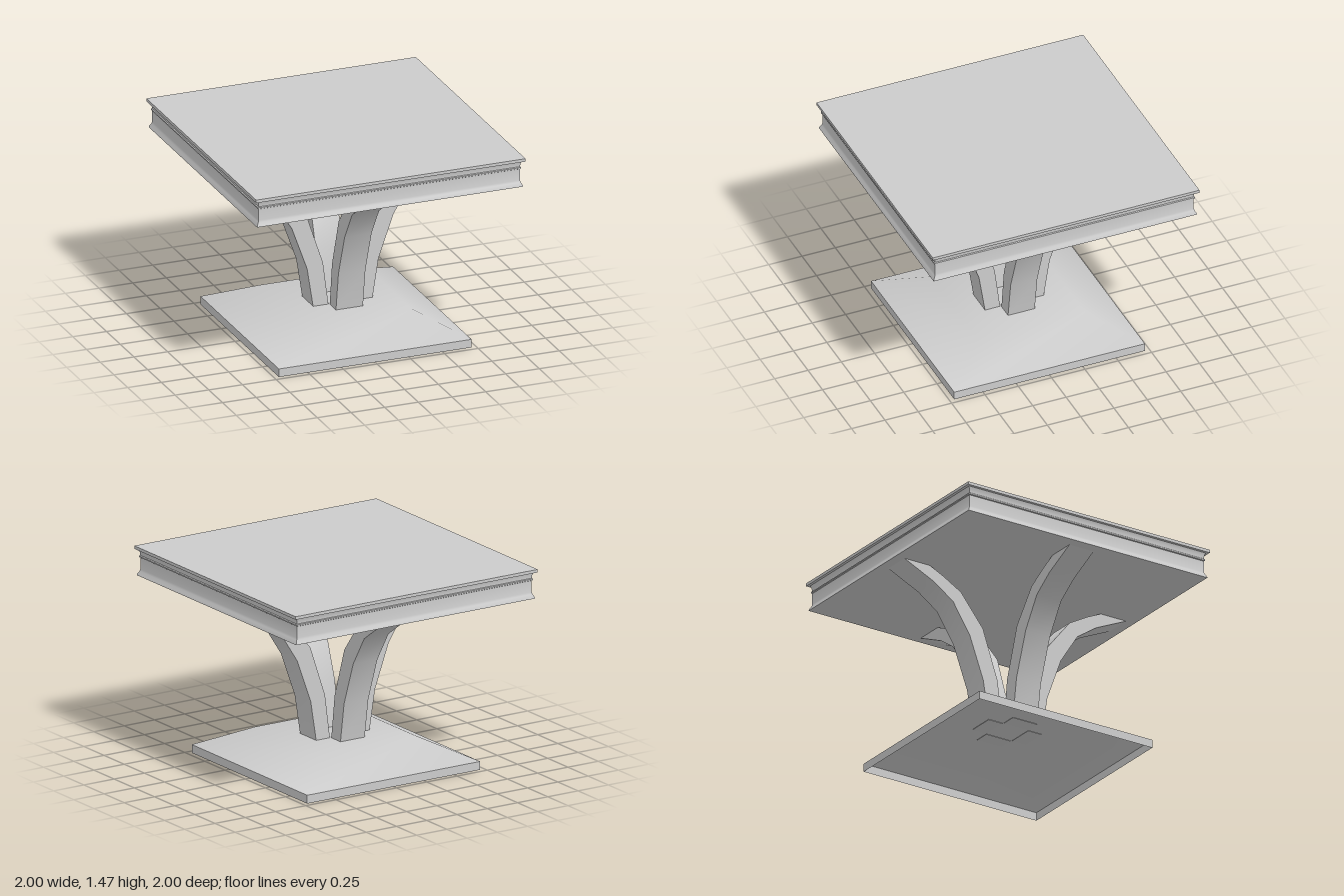
import * as THREE from 'three';
import { toCreasedNormals } from 'three/addons/utils/BufferGeometryUtils.js';

const material = new THREE.MeshStandardMaterial({ color: 0xcccccc, side: THREE.DoubleSide });

// Square loft: profile is a list of [half width, height], bottom to top, closed on top
function squareLoft(profile, closeBottom, crease) {
  const corners = [[1, 1], [1, -1], [-1, -1], [-1, 1]];
  const positions = [];
  const index = [];
  for (const [half, y] of profile) {
    for (const [sx, sz] of corners) positions.push(sx * half, y, sz * half);
  }
  for (let r = 0; r < profile.length - 1; r++) {
    for (let i = 0; i < 4; i++) {
      const a = r * 4 + i;
      const b = r * 4 + (i + 1) % 4;
      index.push(a, b, b + 4, a, b + 4, a + 4);
    }
  }
  const t = (profile.length - 1) * 4;
  index.push(t, t + 1, t + 2, t, t + 2, t + 3);
  if (closeBottom) index.push(0, 2, 1, 0, 3, 2);
  const geometry = new THREE.BufferGeometry();
  geometry.setAttribute('position', new THREE.Float32BufferAttribute(positions, 3));
  geometry.setIndex(index);
  return toCreasedNormals(geometry, crease);
}

function addPart(parent, name, geometry) {
  const mesh = new THREE.Mesh(geometry, material);
  mesh.name = name;
  parent.add(mesh);
  return mesh;
}

export function createModel() {
  const table = new THREE.Group();
  table.name = 'pedestalTable';

  // Hollow plinth with a sloping, softly shaded top
  addPart(table, 'base', squareLoft([[0.715, 0], [0.715, 0.06], [0.4, 0.215]], false, Math.PI / 4));

  // Moulded apron with a flared foot and a concave band
  addPart(table, 'apron', squareLoft([
    [0.988, 1.255], [0.986, 1.264], [0.974, 1.285], [0.97, 1.3], [0.97, 1.382],
    [0.977, 1.386], [0.977, 1.395], [0.971, 1.4], [0.973, 1.425], [0.98, 1.443],
  ], true, Math.PI / 5));

  // Thin top slab
  addPart(table, 'tabletop', squareLoft([[1, 1.443], [1, 1.465]], true, Math.PI / 5));

  // Curved leg outline: up the outer edge, back down the inner edge
  const outline = [
    [0.22, 0.212], [0.265, 0.5], [0.378, 0.815], [0.515, 1.032], [0.67, 1.14], [0.92, 1.256],
    [0.71, 1.256], [0.6, 1.205], [0.45, 1.12], [0.268, 0.89], [0.148, 0.53], [0.107, 0.212],
  ].map(([x, y]) => new THREE.Vector2(x, y));
  const legGeometry = new THREE.ExtrudeGeometry(new THREE.Shape(outline), { depth: 0.2, bevelEnabled: false });
  legGeometry.translate(0, 0, -0.1);
  const smoothLeg = toCreasedNormals(legGeometry, Math.PI / 6);

  // Four legs spreading toward the middle of each side
  const legs = new THREE.Group();
  legs.name = 'legs';
  legs.position.x = 0.01;
  ['leftLeg', 'backLeg', 'rightLeg', 'frontLeg'].forEach((name, i) => {
    addPart(legs, name, smoothLeg).rotation.y = i * Math.PI / 2;
  });
  table.add(legs);

  return table;
}
